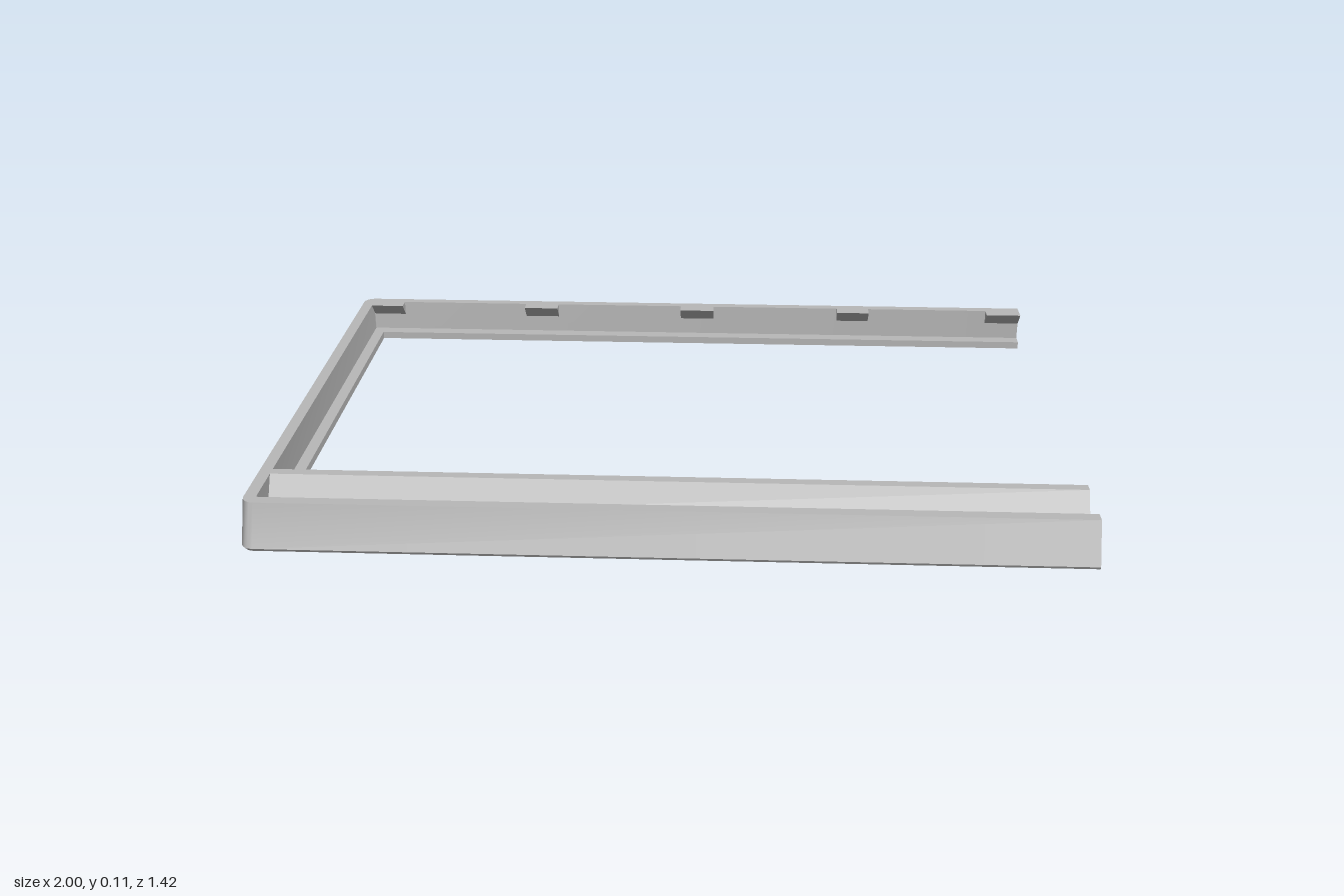
import * as THREE from 'three';
import { toCreasedNormals } from 'three/addons/utils/BufferGeometryUtils.js';

const H = 0.106, FLOOR = 0.02, LEAN = 0.45;
const grey = new THREE.MeshStandardMaterial({ color: 0xb8b8b8 });
grey.name = 'plain grey';

// C-shaped outline, open at x = 1, with rounded corners; the front leans back with height
function outline(left, back, front, r, y) {
  const pts = [[1, y, back]];
  const f = front - LEAN * y;
  for (let i = 0; i <= 5; i++) {
    const a = (i / 5) * Math.PI / 2;
    pts.push([left + r - r * Math.sin(a), y, back + r - r * Math.cos(a)]);
  }
  for (let i = 0; i <= 5; i++) {
    const a = (i / 5) * Math.PI / 2;
    pts.push([left + r - r * Math.cos(a), y, f - r + r * Math.sin(a)]);
  }
  pts.push([1, y, f]);
  return pts;
}

// Perimeter wall lofted between outlines
function wallGeometry() {
  const loops = [
    outline(-0.993, -0.703, 0.707, 0.026, 0),
    outline(-1, -0.71, 0.714, 0.03, 0.007),
    outline(-1, -0.71, 0.714, 0.03, H),
    outline(-0.97, -0.685, 0.684, 0.005, H),
    outline(-0.97, -0.685, 0.684, 0.005, FLOOR),
    outline(-0.97, -0.685, 0.684, 0.005, 0),
  ];
  const n = loops[0].length, m = loops.length, v = [];
  const tri = (a, b, c) => v.push(...a, ...b, ...c);
  for (let k = 0; k < m; k++) {
    const p = loops[k], q = loops[(k + 1) % m];
    for (let i = 0; i < n - 1; i++) {
      tri(p[i], p[i + 1], q[i + 1]);
      tri(p[i], q[i + 1], q[i]);
    }
  }
  // cut ends
  for (let j = 1; j < m - 1; j++) {
    const a = (4 + j) % m, b = (5 + j) % m;
    tri(loops[4][0], loops[a][0], loops[b][0]);
    tri(loops[4][n - 1], loops[b][n - 1], loops[a][n - 1]);
  }
  const g = new THREE.BufferGeometry();
  g.setAttribute('position', new THREE.Float32BufferAttribute(v, 3));
  return toCreasedNormals(g, 0.5);
}

// Extrude a (z, y) profile from x0 to x1
function alongX(profile, x0, x1) {
  const s = new THREE.Shape(profile.map(([z, y]) => new THREE.Vector2(-z, y)));
  const g = new THREE.ExtrudeGeometry(s, { depth: x1 - x0, bevelEnabled: false });
  return g.rotateY(Math.PI / 2).translate(x0, 0, 0);
}

export function createModel() {
  const model = new THREE.Group();
  model.name = 'openFrame';
  const add = (name, geometry) => {
    const mesh = new THREE.Mesh(geometry, grey);
    mesh.name = name;
    model.add(mesh);
  };

  add('perimeterWall', wallGeometry());

  // Floor flange with the large opening and the front slot, both open at x = 1
  const plan = [
    [1, -0.685], [-0.97, -0.685], [-0.97, 0.684], [1, 0.684], [1, 0.66], [-0.87, 0.66],
    [-0.87, 0.578], [1, 0.578], [1, 0.405], [-0.94, 0.405], [-0.94, -0.649], [1, -0.649],
  ];
  const floor = new THREE.ExtrudeGeometry(
    new THREE.Shape(plan.map(([x, z]) => new THREE.Vector2(x, -z))),
    { depth: FLOOR, bevelEnabled: false });
  add('floorFlange', floor.rotateX(-Math.PI / 2));

  // Leaning inner rail with a hooked back edge
  add('innerRail', alongX([
    [0.568, FLOOR], [0.513, H], [0.487, H], [0.523, 0.051], [0.498, 0.047], [0.498, FLOOR],
  ], -0.97, 1));

  // Wedge tabs under the back wall's top edge
  const tabs = [[-0.97, -0.875], [-0.5, -0.4], [-0.025, 0.075], [0.45, 0.545], [0.9, 1]];
  for (const [x0, x1] of tabs) {
    add('backTab', alongX([[-0.685, H], [-0.649, H], [-0.682, 0.07], [-0.685, 0.067]], x0, x1));
  }
  return model;
}
